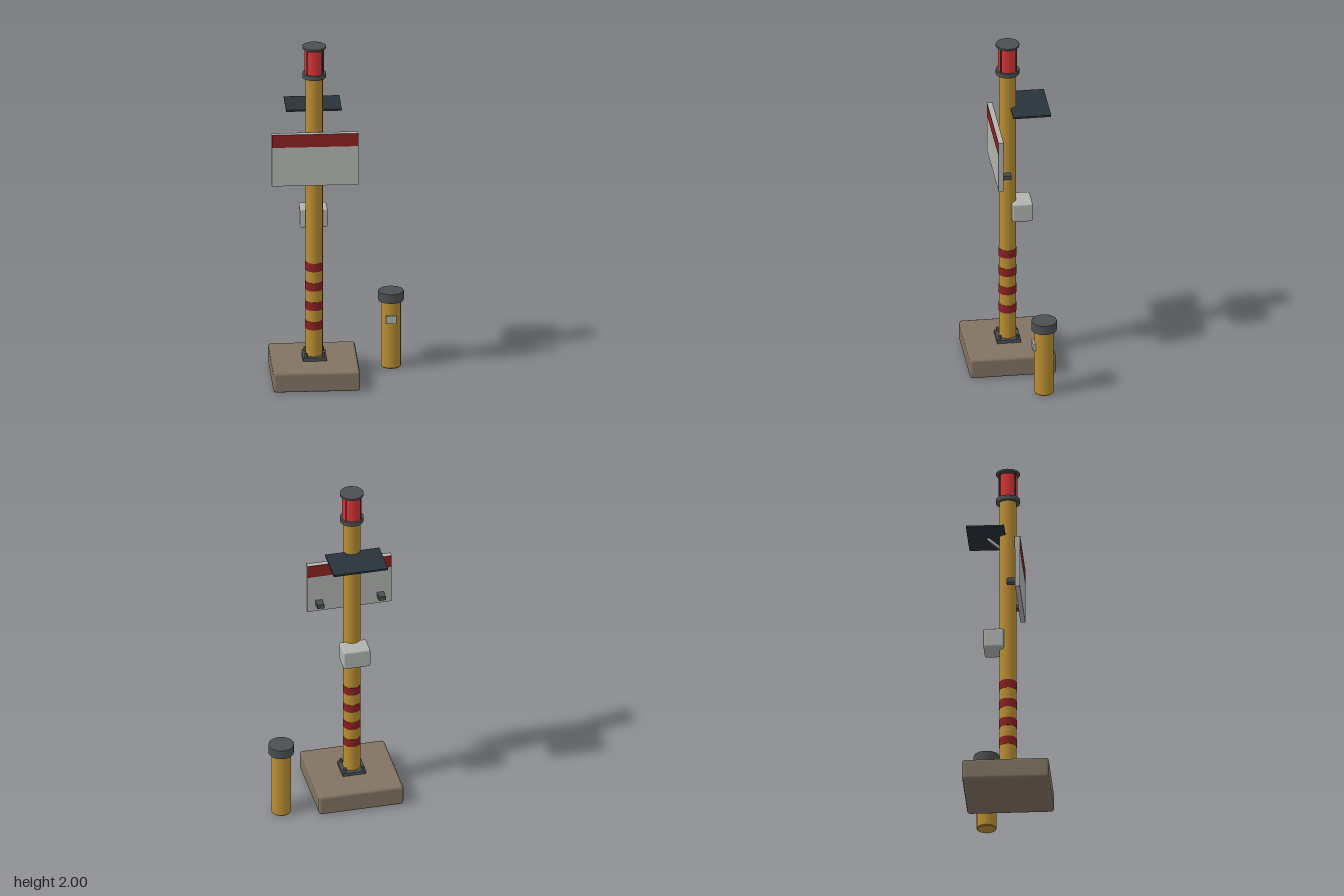
import * as THREE from 'three';
import { RoundedBoxGeometry } from 'three/addons/geometries/RoundedBoxGeometry.js';

const material = (name, color) => {
  const m = new THREE.MeshStandardMaterial({ color });
  m.name = name;
  return m;
};

export function createModel() {
  const yellow = material('yellow paint', 0xb98e32);
  const red = material('red paint', 0x8a2020);
  const lensRed = material('beacon red', 0xd83434);
  const lightGrey = material('light grey', 0xb0b3b0);
  const steel = material('dark steel', 0x4b4f51);
  const panelBlue = material('solar panel', 0x29323a);
  const concrete = material('concrete', 0x817363);

  const model = new THREE.Group();
  model.name = 'signPostAndBollard';

  const add = (parent, name, geometry, mat, x, y, z) => {
    const mesh = new THREE.Mesh(geometry, mat);
    mesh.name = name;
    mesh.position.set(x, y, z);
    parent.add(mesh);
    return mesh;
  };
  const box = (parent, name, w, h, d, mat, x, y, z) =>
    add(parent, name, new THREE.BoxGeometry(w, h, d), mat, x, y, z);
  // Upright cylinder standing between two heights
  const column = (parent, name, r, y0, y1, mat, sides = 20, x = 0, z = 0) =>
    add(parent, name, new THREE.CylinderGeometry(r, r, y1 - y0, sides), mat, x, (y0 + y1) / 2, z);

  // Sign post, built around its own axis
  const post = new THREE.Group();
  post.name = 'signPost';
  post.position.x = -0.136;
  model.add(post);

  // Foundation, flange and bolts
  add(post, 'foundation', new RoundedBoxGeometry(0.49, 0.12, 0.49, 1, 0.016), concrete, 0, 0.06, 0);
  box(post, 'flange', 0.135, 0.02, 0.135, steel, 0, 0.13, 0);
  for (const x of [-0.05, 0.05])
    for (const z of [-0.05, 0.05]) column(post, 'bolt', 0.009, 0.135, 0.162, steel, 6, x, z);

  // Pole with warning bands
  column(post, 'pole', 0.049, 0.13, 1.82, yellow);
  for (let i = 0; i < 4; i++) {
    const y = 0.3 + i * 0.117;
    column(post, 'warningBand', 0.0505, y, y + 0.05, red);
  }

  // Control box behind the pole
  add(post, 'controlBox', new RoundedBoxGeometry(0.156, 0.112, 0.117, 2, 0.01), lightGrey, 0, 0.95, -0.077);

  // Sign board with red header on both faces
  box(post, 'signBoard', 0.488, 0.31, 0.027, lightGrey, 0, 1.343, 0.069);
  for (const z of [0.0545, 0.0835]) box(post, 'signHeader', 0.488, 0.077, 0.002, red, 0, 1.4595, z);
  for (const x of [-0.178, 0.178]) box(post, 'signBracket', 0.04, 0.026, 0.052, steel, x, 1.248, 0.03);

  // Solar panel and its slanted strut
  box(post, 'solarPanel', 0.314, 0.011, 0.215, panelBlue, 0, 1.605, -0.12);
  const strut = box(post, 'panelStrut', 0.018, 0.014, 0.105, lightGrey, 0, 1.564, -0.075);
  strut.rotation.x = 0.7;

  // Beacon: collar, lens, cage bars and lid
  column(post, 'beaconCollar', 0.067, 1.813, 1.839, steel);
  column(post, 'beaconLens', 0.055, 1.838, 1.98, lensRed);
  for (let i = 0; i < 4; i++) {
    const a = Math.PI / 4 + i * Math.PI / 2;
    column(post, 'cageBar', 0.004, 1.835, 1.992, steel, 6, 0.061 * Math.cos(a), 0.061 * Math.sin(a));
  }
  column(post, 'beaconLid', 0.067, 1.988, 2, steel);

  // Separate bollard with cap and small plate
  const bollard = new THREE.Group();
  bollard.name = 'bollard';
  bollard.position.set(0.307, 0, -0.149);
  model.add(bollard);
  column(bollard, 'bollardBody', 0.057, 0.006, 0.405, yellow, 16);
  add(bollard, 'bollardFoot', new THREE.CylinderGeometry(0.057, 0.052, 0.006, 16), yellow, 0, 0.003, 0);
  column(bollard, 'bollardCap', 0.073, 0.4, 0.455, steel, 12);
  box(bollard, 'bollardPlate', 0.058, 0.046, 0.02, lightGrey, -0.002, 0.3, 0.058);

  return model;
}
